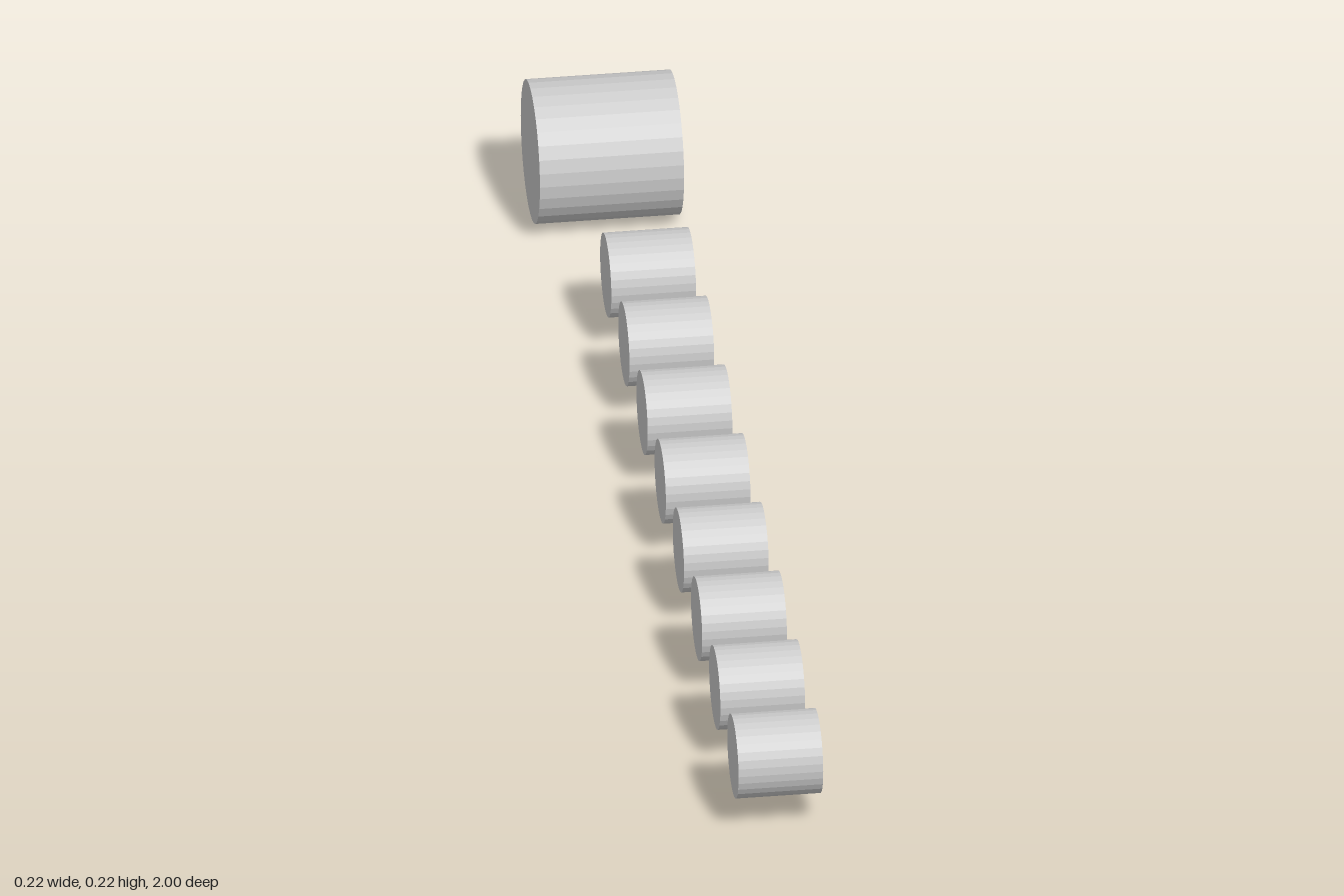
import * as THREE from 'three';

const material = new THREE.MeshStandardMaterial({ color: 0xcccccc, flatShading: true });

// Cylinder lying along x
function roller(name, radius, length, x, y, z) {
  const geometry = new THREE.CylinderGeometry(radius, radius, length, 32);
  geometry.rotateZ(Math.PI / 2);
  const mesh = new THREE.Mesh(geometry, material);
  mesh.name = name;
  mesh.position.set(x, y, z);
  return mesh;
}

export function createModel() {
  const group = new THREE.Group();
  group.name = 'rollerRow';

  // Large roller at the back
  group.add(roller('largeRoller', 0.109, 0.218, 0, 0.109, -0.891));

  // Evenly spaced row of small rollers
  const count = 8, front = 0.936, spacing = 0.2063;
  for (let i = 0; i < count; i++) {
    group.add(roller(`smallRoller${i + 1}`, 0.064, 0.128, 0.018, 0.111, front - i * spacing));
  }
  return group;
}
